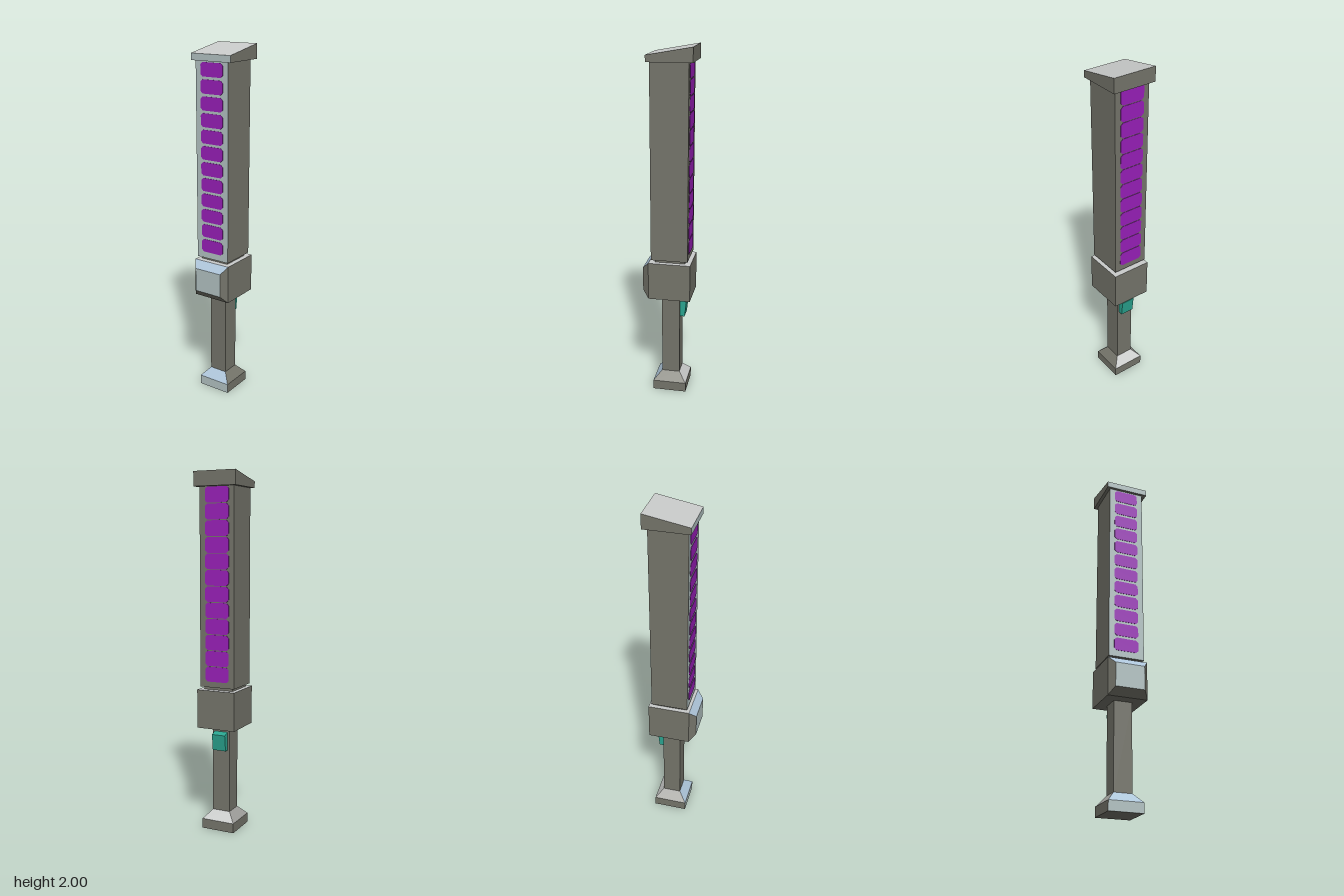
import * as THREE from 'three';

export function createModel() {
  const root = new THREE.Group();
  root.name = 'batonSword';

  const mat = (name, hex) => {
    const m = new THREE.MeshStandardMaterial({ color: hex });
    m.name = name;
    return m;
  };
  const dark = mat('dark olive grey', 0x74746a);
  const pale = mat('pale blue grey', 0xb2c2c2);
  const blue = mat('light steel blue', 0xaec6da);
  const light = mat('light grey', 0xcacccb);
  const mid = mat('mid grey', 0xa0a09c);
  const purple = mat('purple', 0x981fb8);
  const teal = mat('teal', 0x2aa590);

  // Six-sided block between two [x0, x1, z0, z1] rectangles; height(sx, sz) may slope the top.
  // Material order: +x, -x, top, bottom, front, back.
  function block(name, bottom, top, y0, y1, mats, topHeight) {
    const g = new THREE.BoxGeometry(2, 2, 2);
    const p = g.attributes.position;
    for (let i = 0; i < p.count; i++) {
      const [sx, sy, sz] = [p.getX(i), p.getY(i), p.getZ(i)];
      const r = sy > 0 ? top : bottom;
      const y = sy > 0 ? (topHeight ? topHeight(sz) : y1) : y0;
      p.setXYZ(i, sx > 0 ? r[1] : r[0], y, sz > 0 ? r[3] : r[2]);
    }
    g.computeVertexNormals();
    const mesh = new THREE.Mesh(g, mats);
    mesh.name = name;
    root.add(mesh);
    return mesh;
  }

  // Pommel and its tapered collar
  const foot = [-0.1, 0.095, -0.11, 0.083];
  const grip = [-0.055, 0.049, -0.065, 0.038];
  block('pommel', foot, foot, 0, 0.055, [dark, dark, dark, dark, pale, dark]);
  block('pommelTaper', foot, grip, 0.055, 0.105, [dark, mid, dark, dark, blue, light]);

  // Grip
  block('grip', grip, grip, 0.105, 0.595, dark);

  // Guard body
  const guard = [-0.115, 0.112, -0.134, 0.104];
  block('guard', guard, guard, 0.595, 0.812, [dark, dark, light, dark, dark, dark]);

  // Bevelled front of the guard
  const bevel = block('guardFront', guard, guard, 0.595, 0.812, [dark, dark, blue, dark, pale, dark]);
  const bp = bevel.geometry.attributes.position;
  for (let i = 0; i < bp.count; i++) {
    if (bp.getZ(i) > 0) {
      bp.setXYZ(i, bp.getX(i) > 0 ? 0.082 : -0.085, bp.getY(i) > 0.7 ? 0.772 : 0.637, 0.141);
    } else {
      bp.setZ(i, 0.104);
    }
  }
  bevel.geometry.computeVertexNormals();

  // Neck and blade
  const neck = [-0.09, 0.084, -0.1, 0.072];
  block('neck', neck, neck, 0.812, 0.828, dark);
  const blade = [-0.106, 0.1, -0.117, 0.091];
  block('blade', blade, blade, 0.828, 1.92, [dark, dark, dark, dark, pale, dark]);

  // Sloping cap
  const cap = [-0.125, 0.124, -0.142, 0.107];
  block('cap', cap, cap, 1.92, 2, [dark, dark, light, dark, pale, dark], (sz) => (sz > 0 ? 1.956 : 2));

  // Trigger behind the grip
  const trigger = block('trigger', [-0.043, 0.037, -0.092, -0.06], [-0.043, 0.037, -0.102, -0.06],
    0.465, 0.57, teal, (sz) => (sz > 0 ? 0.57 : 0.556));
  trigger.geometry.computeVertexNormals();

  // Rows of glowing cells with clipped corners, front and back
  function cellGeometry(w, h, c) {
    const s = new THREE.Shape();
    s.moveTo(-w + c, -h);
    s.lineTo(w - c, -h);
    s.lineTo(w, -h + c);
    s.lineTo(w, h - c);
    s.lineTo(w - c, h);
    s.lineTo(-w + c, h);
    s.lineTo(-w, h - c);
    s.lineTo(-w, -h + c);
    s.closePath();
    return new THREE.ExtrudeGeometry(s, { depth: 0.003, bevelEnabled: false });
  }
  const frontCell = cellGeometry(0.071, 0.037, 0.013);
  const backCell = cellGeometry(0.071, 0.042, 0.013);
  const cells = new THREE.Group();
  cells.name = 'glowCells';
  for (let i = 0; i < 12; i++) {
    const y = 0.902 + i * 0.0885;
    const front = new THREE.Mesh(frontCell, purple);
    front.position.set(-0.004, y, 0.09);
    front.name = 'frontCell';
    const back = new THREE.Mesh(backCell, purple);
    back.position.set(-0.004, y, -0.119);
    back.name = 'backCell';
    cells.add(front, back);
  }
  root.add(cells);

  return root;
}
